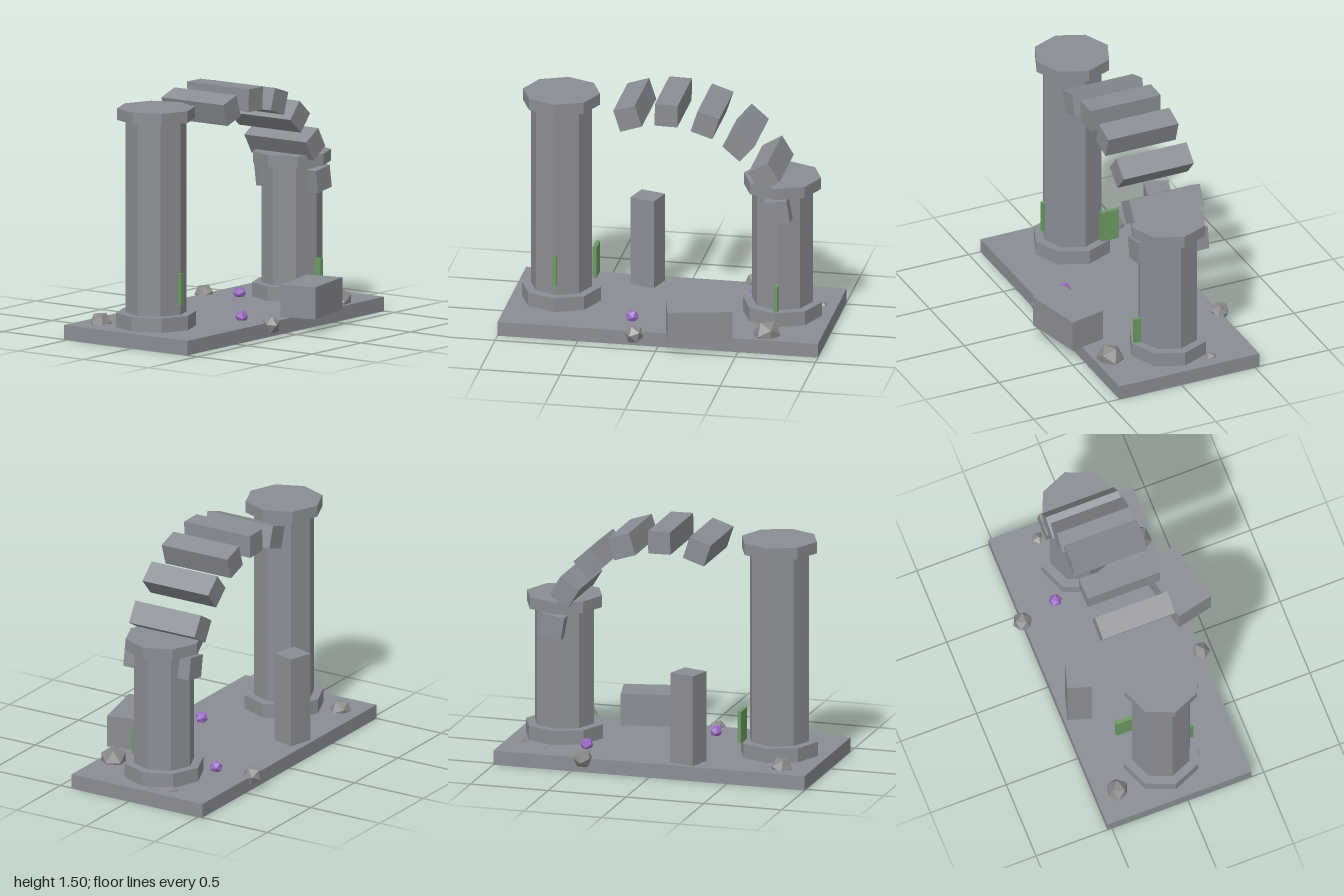
import * as THREE from 'three';

const mat = (name, color) => {
  const m = new THREE.MeshStandardMaterial({ color, flatShading: true });
  m.name = name;
  return m;
};

export function createModel() {
  const stone = mat('stone', 0x8a8d94);
  const rubble = mat('rubble', 0x888888);
  const moss = mat('moss', 0x6b9a62);
  const crystal = mat('crystal', 0x9a68c2);

  const root = new THREE.Group();
  root.name = 'ruinedArch';
  const MID_Z = -0.055; // centre line of the slab, columns and arch
  const FLOOR = 0.09; // top of the slab

  const add = (parent, name, geometry, material, x, y, z) => {
    const mesh = new THREE.Mesh(geometry, material);
    mesh.name = name;
    mesh.position.set(x, y, z);
    parent.add(mesh);
    return mesh;
  };
  const box = (name, w, h, d, material, x, y, z) =>
    add(root, name, new THREE.BoxGeometry(w, h, d), material, x, y, z);

  // Ground slab
  box('slab', 2, FLOOR, 0.95, stone, 0, FLOOR / 2, MID_Z);

  // Octagonal columns: foot, shaft and cap
  const column = (name, x, top) => {
    const group = new THREE.Group();
    group.name = name;
    group.position.set(x, 0, MID_Z);
    root.add(group);
    const drum = (part, r, y0, y1) =>
      add(group, part, new THREE.CylinderGeometry(r, r, y1 - y0, 8), stone, 0, (y0 + y1) / 2, 0);
    drum('columnFoot', 0.247, FLOOR, 0.18);
    drum('columnShaft', 0.19, 0.18, top - 0.073);
    drum('columnCap', 0.241, top - 0.073, top);
  };
  column('tallColumn', -0.69, 1.452);
  column('brokenColumn', 0.69, 0.997);

  // Floating arch stones: x, y, tilt in degrees
  [
    [-0.233, 1.393, 18],
    [0.008, 1.43, -1],
    [0.25, 1.385, -18],
    [0.46, 1.26, -41],
    [0.618, 1.067, -59],
    [0.7, 0.84, -81],
  ].forEach(([x, y, tilt]) => {
    box('archStone', 0.142, 0.142, 0.476, stone, x, y, MID_Z)
      .rotation.z = THREE.MathUtils.degToRad(tilt);
  });

  // Loose blocks: one upright, one fallen
  box('uprightBlock', 0.162, 0.57, 0.152, stone, -0.219, 0.375, -0.414).rotation.y = -0.29;
  box('fallenBlock', 0.4, 0.2, 0.236, stone, 0.26, 0.19, 0.42).rotation.y = 0.22;

  // Thin moss panels on the columns
  [
    [-0.696, 0.341, 0.09],
    [-0.503, 0.295, -0.22],
    [0.688, 0.245, 0.115],
  ].forEach(([x, y, z]) => box('mossPanel', 0.025, 0.2, 0.12, moss, x, y, z));

  // Rubble and crystals: x, y, z, radius
  const pebbles = (name, material, list) =>
    list.forEach(([x, y, z, r], i) => {
      add(root, name, new THREE.IcosahedronGeometry(r), material, x, y, z)
        .rotation.set(i * 0.9 + 0.4, i * 1.3 + 0.3, i * 0.5);
    });
  pebbles('rubbleRock', rubble, [
    [-0.81, 0.09, -0.39, 0.073],
    [0.425, 0.09, -0.53, 0.063],
    [-0.147, 0.07, 0.418, 0.061],
    [0.665, 0.1, 0.325, 0.087],
    [0.9, 0.072, -0.245, 0.045],
  ]);
  pebbles('crystal', crystal, [
    [-0.195, 0.112, 0.23, 0.042],
    [0.473, 0.112, -0.295, 0.042],
  ]);

  return root;
}
